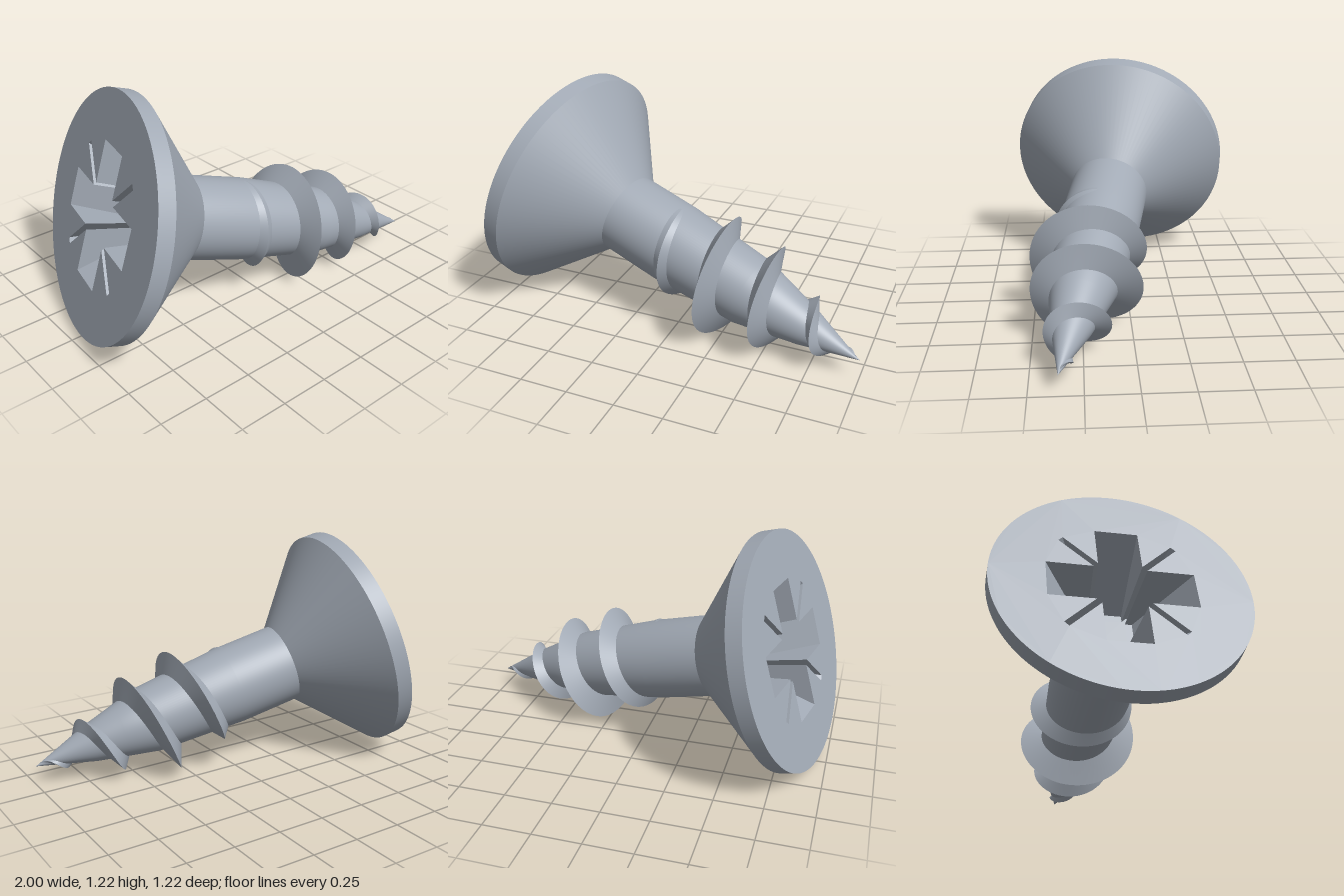
import * as THREE from 'three';

const steel = new THREE.MeshStandardMaterial({ color: 0xa2aab5 });
steel.name = 'steel';

// Linear lookup in a list of [t, value] pairs
function lookup(table, t) {
  for (let i = 1; i < table.length; i++) {
    const [t0, v0] = table[i - 1], [t1, v1] = table[i];
    if (t <= t1) return v0 + (v1 - v0) * Math.max(0, (t - t0) / (t1 - t0));
  }
  return table[table.length - 1][1];
}

// Distance along the screw axis, radius
const CORE = [[0.455, 0.216], [0.78, 0.215], [1.27, 0.182], [1.42, 0.145], [1.6, 0.1], [1.9, 0]];
const CREST = [[0.76, 0.215], [0.91, 0.258], [1.044, 0.303], [1.13, 0.313], [1.2, 0.312],
  [1.33, 0.271], [1.47, 0.207], [1.62, 0.143], [1.75, 0.075], [1.87, 0.012]];
const HEAD_R = 0.613, PITCH = 0.28, RECESS_DEPTH = 0.34;

function add(group, name, geometry) {
  const mesh = new THREE.Mesh(geometry, steel);
  mesh.name = name;
  group.add(mesh);
}

const revolve = (pairs) =>
  new THREE.LatheGeometry(pairs.map(([t, r]) => new THREE.Vector2(r, t)), 96);

// Cross with four thin diagonal slits, counterclockwise
function recessOutline(length, half, slit, e) {
  const quadrant = [[length, half], [half + e, half], [slit + e / 2, slit - e / 2],
    [slit - e / 2, slit + e / 2], [half, half + e], [half, length]];
  const points = [];
  for (let k = 0; k < 4; k++) {
    for (const [x, y] of quadrant) {
      points.push(new THREE.Vector2(x, y).rotateAround(new THREE.Vector2(), k * Math.PI / 2));
    }
  }
  return points;
}

// Tapered flat walls between the mouth and the floor of the recess
function recessWalls(mouth, floor) {
  const pos = [];
  mouth.forEach((a, i) => {
    const j = (i + 1) % mouth.length, b = mouth[j], c = floor[i], d = floor[j];
    const z = -RECESS_DEPTH;
    pos.push(a.x, a.y, 0, d.x, d.y, z, c.x, c.y, z, a.x, a.y, 0, b.x, b.y, 0, d.x, d.y, z);
  });
  const g = new THREE.BufferGeometry();
  g.setAttribute('position', new THREE.Float32BufferAttribute(pos, 3));
  g.computeVertexNormals();
  return g;
}

// One flank of the helical thread; from/to give [t, radius] at axial position t
function flank(from, to) {
  const start = 0.765, end = 1.87, steps = 380, pos = [], index = [];
  for (let i = 0; i <= steps; i++) {
    const t = start + (end - start) * i / steps;
    const angle = (t - 1.044) / PITCH * Math.PI * 2;
    for (const [y, r] of [from(t), to(t)]) {
      pos.push(r * Math.cos(angle), y, -r * Math.sin(angle));
    }
    if (i < steps) {
      const a = i * 2;
      index.push(a, a + 2, a + 1, a + 1, a + 2, a + 3);
    }
  }
  const g = new THREE.BufferGeometry();
  g.setAttribute('position', new THREE.Float32BufferAttribute(pos, 3));
  g.setIndex(index);
  g.computeVertexNormals();
  return g;
}

export function createModel() {
  const model = new THREE.Group();
  model.name = 'woodScrew';
  const screw = new THREE.Group();
  screw.name = 'screwBody';
  model.add(screw);

  // Head: rim, countersunk cone, flat face with recess
  add(screw, 'headRim', revolve([[0, HEAD_R], [0.085, HEAD_R]]));
  add(screw, 'headCone', revolve([[0.085, HEAD_R], [0.455, 0.216]]));

  const mouth = recessOutline(0.35, 0.105, 0.272, 0.022);
  const floor = recessOutline(0.13, 0.08, 0.112, 0.015);
  const face = new THREE.Shape().absarc(0, 0, HEAD_R, 0, Math.PI * 2, false);
  face.holes.push(new THREE.Path(mouth));
  add(screw, 'headFace', new THREE.ShapeGeometry(face, 96).rotateX(Math.PI / 2));
  add(screw, 'recessWalls', recessWalls(mouth, floor).rotateX(Math.PI / 2));
  add(screw, 'recessFloor', new THREE.ShapeGeometry(new THREE.Shape(floor))
    .translate(0, 0, -RECESS_DEPTH).rotateX(Math.PI / 2));

  // Shank tapering to the point
  add(screw, 'shank', revolve(CORE));

  // Thread: two flanks meeting at a sharp crest
  const width = (t) => lookup([[0.76, 0.04], [1, 0.055], [1.4, 0.05], [1.87, 0.02]], t);
  const root = (side) => (t) => {
    const y = t + side * width(t);
    return [y, Math.max(0, lookup(CORE, y) - 0.003)];
  };
  const crest = (t) => [t, lookup(CREST, t)];
  add(screw, 'threadUpperFlank', flank(root(-1), crest));
  add(screw, 'threadLowerFlank', flank(crest, root(1)));

  // Lay the screw down on its head rim and thread
  const axis = new THREE.Vector3(0.94, -0.278, 0.194).normalize();
  const up = new THREE.Vector3(0, 1, 0).addScaledVector(axis, -axis.y).normalize();
  const side = new THREE.Vector3().crossVectors(up, axis);
  screw.quaternion.setFromRotationMatrix(new THREE.Matrix4().makeBasis(up, axis, side));
  screw.position.set(-0.792, 0.64, -0.005);
  return model;
}
